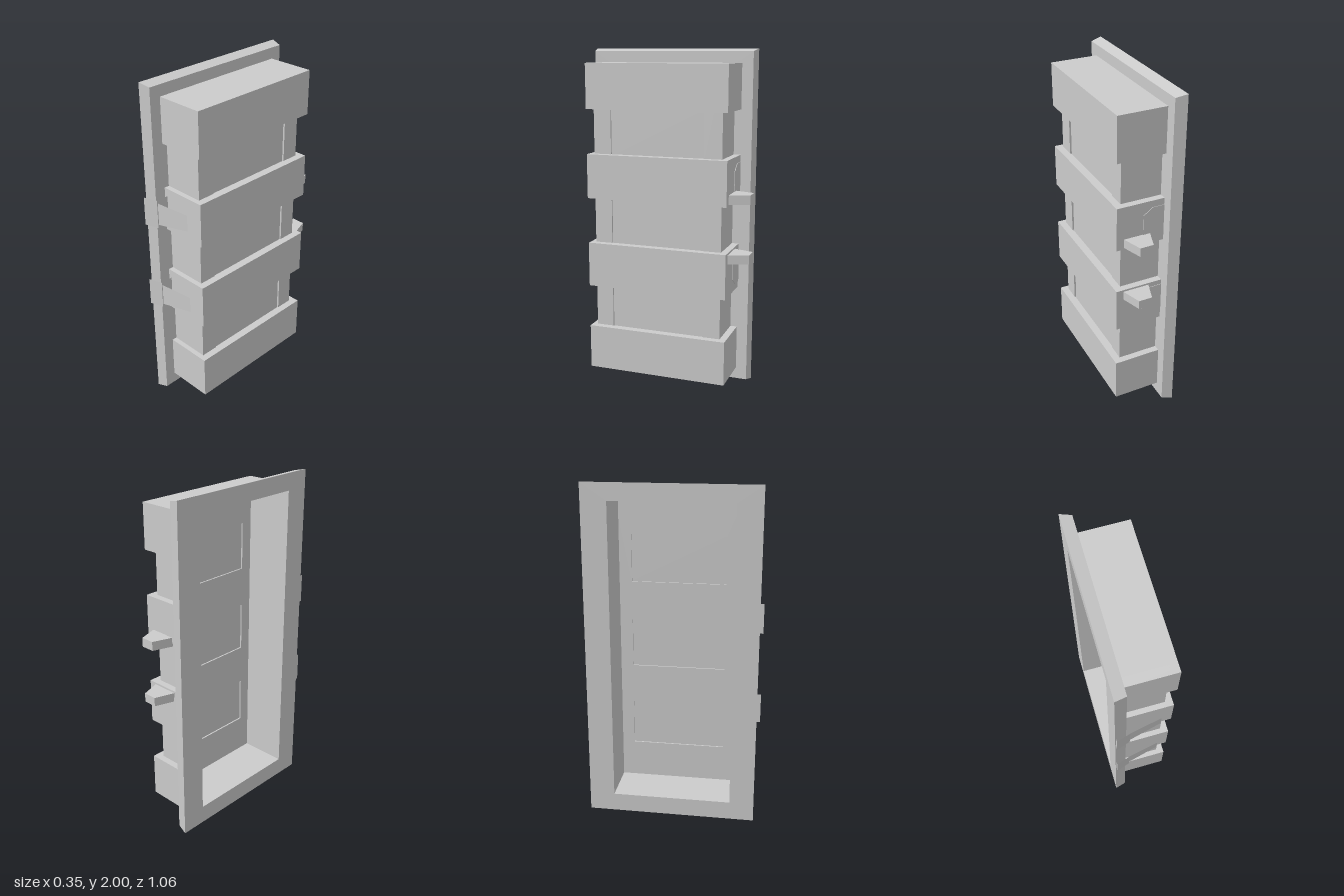
import * as THREE from 'three';

const material = new THREE.MeshStandardMaterial({ color: 0xcccccc, flatShading: true });

function addMesh(parent, name, geometry) {
  const mesh = new THREE.Mesh(geometry, material);
  mesh.name = name;
  parent.add(mesh);
  return mesh;
}

// Box given by its limits along each axis
function addBox(parent, name, [x0, x1], [y0, y1], [z0, z1]) {
  const geometry = new THREE.BoxGeometry(x1 - x0, y1 - y0, z1 - z0);
  geometry.translate((x0 + x1) / 2, (y0 + y1) / 2, (z0 + z1) / 2);
  return addMesh(parent, name, geometry);
}

function polygon(points, PathClass = THREE.Shape) {
  return new PathClass(points.map(([x, y]) => new THREE.Vector2(x, y)));
}

const rect = (z0, z1, y0, y1) => [[-z1, y0], [-z0, y0], [-z0, y1], [-z1, y1]];

// Slab in the z-y plane with rectangular holes, thickness along x
function slab(outer, holes, x0, x1) {
  const shape = polygon(rect(...outer));
  shape.holes = holes.map(h => polygon(rect(...h).reverse(), THREE.Path));
  const geometry = new THREE.ExtrudeGeometry(shape, { depth: x1 - x0, bevelEnabled: false });
  return geometry.rotateY(Math.PI / 2).translate(x0, 0, 0);
}

// Quads, corners counter-clockwise as seen from outside
function quads(list) {
  const positions = [];
  for (const [a, b, c, d] of list) positions.push(...a, ...b, ...c, ...a, ...c, ...d);
  const geometry = new THREE.BufferGeometry();
  geometry.setAttribute('position', new THREE.Float32BufferAttribute(positions, 3));
  geometry.computeVertexNormals();
  return geometry;
}

const bands = [[0.085, 0.35], [0.605, 0.87], [1.14, 1.4], [1.66, 1.92]];
const cavity = [-0.345, 0.365, 0.11, 1.9];

function addRim(parent) {
  const geometry = slab([-0.495, 0.51, 0, 2], [cavity], -0.175, -0.11);
  // Taper the outer edge toward the body
  const p = geometry.attributes.position;
  for (let i = 0; i < p.count; i++) {
    const y = p.getY(i), z = p.getZ(i);
    if (p.getX(i) > -0.14 && (y < 0.05 || y > 1.95)) {
      p.setY(i, y + (y < 1 ? 0.015 : -0.015));
      p.setZ(i, z + (z < 0 ? 0.015 : -0.015));
    }
  }
  geometry.computeVertexNormals();
  addMesh(parent, 'rim', geometry);
}

function addShell(parent) {
  const shell = new THREE.Group();
  shell.name = 'shell';
  parent.add(shell);
  const depth = [-0.174, 0.13];
  addBox(shell, 'frontWall', depth, [0.09, 1.915], [0.365, 0.4]);
  addBox(shell, 'backWall', depth, [0.09, 1.915], [-0.375, -0.345]);
  addBox(shell, 'bottomWall', depth, [0.09, 0.11], [-0.375, 0.4]);
  addBox(shell, 'topWall', depth, [1.9, 1.915], [-0.375, 0.4]);
  const windows = [0, 1, 2].map(i => [-0.27, 0.295, bands[i][1] - 0.012, bands[i + 1][0] + 0.012]);
  addMesh(shell, 'face', slab([-0.37, 0.395, 0.1, 1.91], windows, 0.108, 0.13));
  // Thin recessed panels behind the openings
  for (const [z0, z1, y0, y1] of windows) addBox(shell, 'panel', [0.117, 0.119], [y0, y1], [z0, z1]);
}

function addBand(parent, y) {
  const band = new THREE.Group();
  band.name = 'band';
  parent.add(band);
  addBox(band, 'bandFace', [0.125, 0.172], y, [-0.415, 0.43]);
  addBox(band, 'bandFront', [-0.13, 0.13], y, [0.38, 0.43]);
  addBox(band, 'bandBack', [-0.13, 0.13], y, [-0.415, -0.36]);
}

// Open-sided latch: wedge head over the rim and a tapering arm
function addLatch(parent, yc) {
  const y0 = yc - 0.085, y1 = yc + 0.085;
  addMesh(parent, 'latch', quads([
    [[-0.17, y0, 0.53], [-0.09, y0, 0.505], [-0.09, y1, 0.505], [-0.17, y1, 0.53]],
    [[-0.09, y0, 0.505], [-0.09, y0, 0.43], [-0.09, y1, 0.43], [-0.09, y1, 0.505]],
    [[-0.17, y0, 0.5], [-0.17, y0, 0.53], [-0.17, y1, 0.53], [-0.17, y1, 0.5]],
    [[-0.09, yc - 0.067, 0.5], [0.098, yc - 0.047, 0.46], [0.098, yc + 0.049, 0.46], [-0.09, yc + 0.067, 0.5]],
  ]));
}

// Trapezoid lug on the back
function addLug(parent, top) {
  const shape = polygon([[-0.03, -0.41], [0.01, -0.53], [0.09, -0.53], [0.13, -0.41]]);
  const geometry = new THREE.ExtrudeGeometry(shape, { depth: 0.053, bevelEnabled: false });
  addMesh(parent, 'lug', geometry.rotateX(Math.PI / 2).translate(0, top, 0));
}

// Thin hinge plate with clipped corners on the back
function addHingePlate(parent, yc) {
  const shape = polygon([[-0.115, -0.1], [-0.04, -0.1], [0.015, -0.06], [0.015, 0.06], [-0.04, 0.1], [-0.115, 0.1]]);
  const geometry = new THREE.ExtrudeGeometry(shape, { depth: 0.01, bevelEnabled: false });
  addMesh(parent, 'hingePlate', geometry.translate(0, yc, -0.418));
}

export function createModel() {
  const model = new THREE.Group();
  model.name = 'caseHalf';
  addRim(model);
  addShell(model);
  bands.forEach(y => addBand(model, y));
  // End caps closing the outermost bands
  addBox(model, 'bottomCap', [-0.13, 0.172], [0.085, 0.105], [-0.415, 0.43]);
  addBox(model, 'topCap', [-0.13, 0.172], [1.905, 1.92], [-0.415, 0.43]);
  [0.735, 1.27].forEach(y => addLatch(model, y));
  [0.859, 1.203].forEach(y => addLug(model, y));
  [0.74, 1.26].forEach(y => addHingePlate(model, y));
  return model;
}
